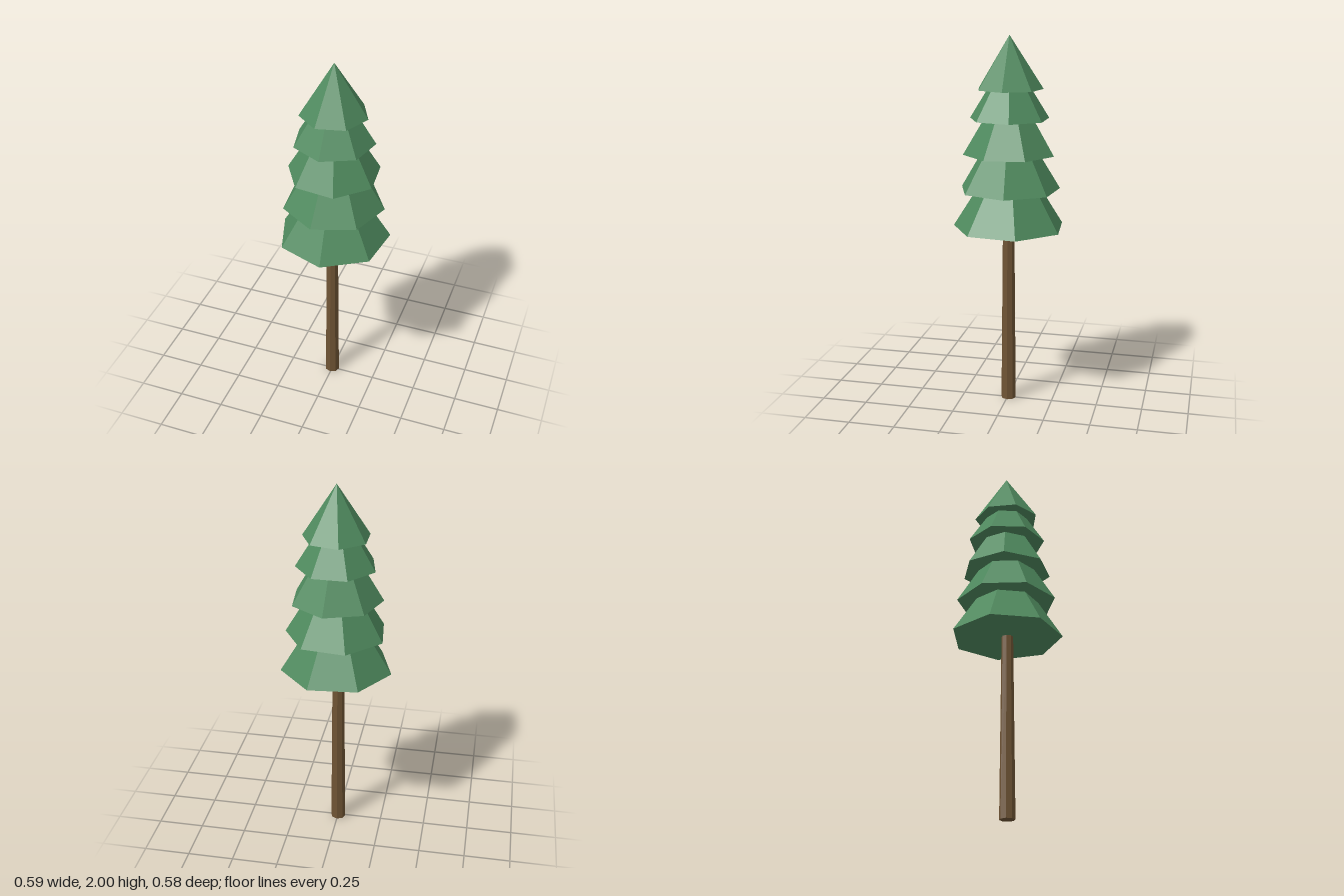
import * as THREE from 'three';

const SIDES = 7;

// Foliage tiers from the bottom up: base height, radius, cone height, angle of one corner from +x
const TIERS = [
  { y: 0.99, radius: 0.302, height: 0.48, angle: -18.1 },
  { y: 1.195, radius: 0.271, height: 0.45, angle: -6.1 },
  { y: 1.385, radius: 0.245, height: 0.41, angle: -31.3 },
  { y: 1.57, radius: 0.213, height: 0.34, angle: -11.6 },
  { y: 1.725, radius: 0.177, height: 0.275, angle: 0 },
];

export function createModel() {
  const tree = new THREE.Group();
  tree.name = 'pineTree';

  const leafMaterial = new THREE.MeshStandardMaterial({ color: 0x4f8a5e, flatShading: true });
  const barkMaterial = new THREE.MeshStandardMaterial({ color: 0x6f5434, flatShading: true });

  // Slender tapered trunk, running a little way into the foliage
  const trunk = new THREE.Mesh(new THREE.CylinderGeometry(0.031, 0.041, 1.05, 8), barkMaterial);
  trunk.name = 'trunk';
  trunk.position.set(-0.002, 0.525, -0.005);
  tree.add(trunk);

  // Stacked seven-sided cones, each turned differently
  const foliage = new THREE.Group();
  foliage.name = 'foliage';
  foliage.position.set(0.005, 0, -0.011);
  TIERS.forEach(({ y, radius, height, angle }, i) => {
    const start = THREE.MathUtils.degToRad(90 - angle);
    const cone = new THREE.ConeGeometry(radius, height, SIDES, 1, false, start);
    const tier = new THREE.Mesh(cone, leafMaterial);
    tier.name = `foliageTier${i + 1}`;
    tier.position.y = y + height / 2;
    foliage.add(tier);
  });
  tree.add(foliage);

  return tree;
}
